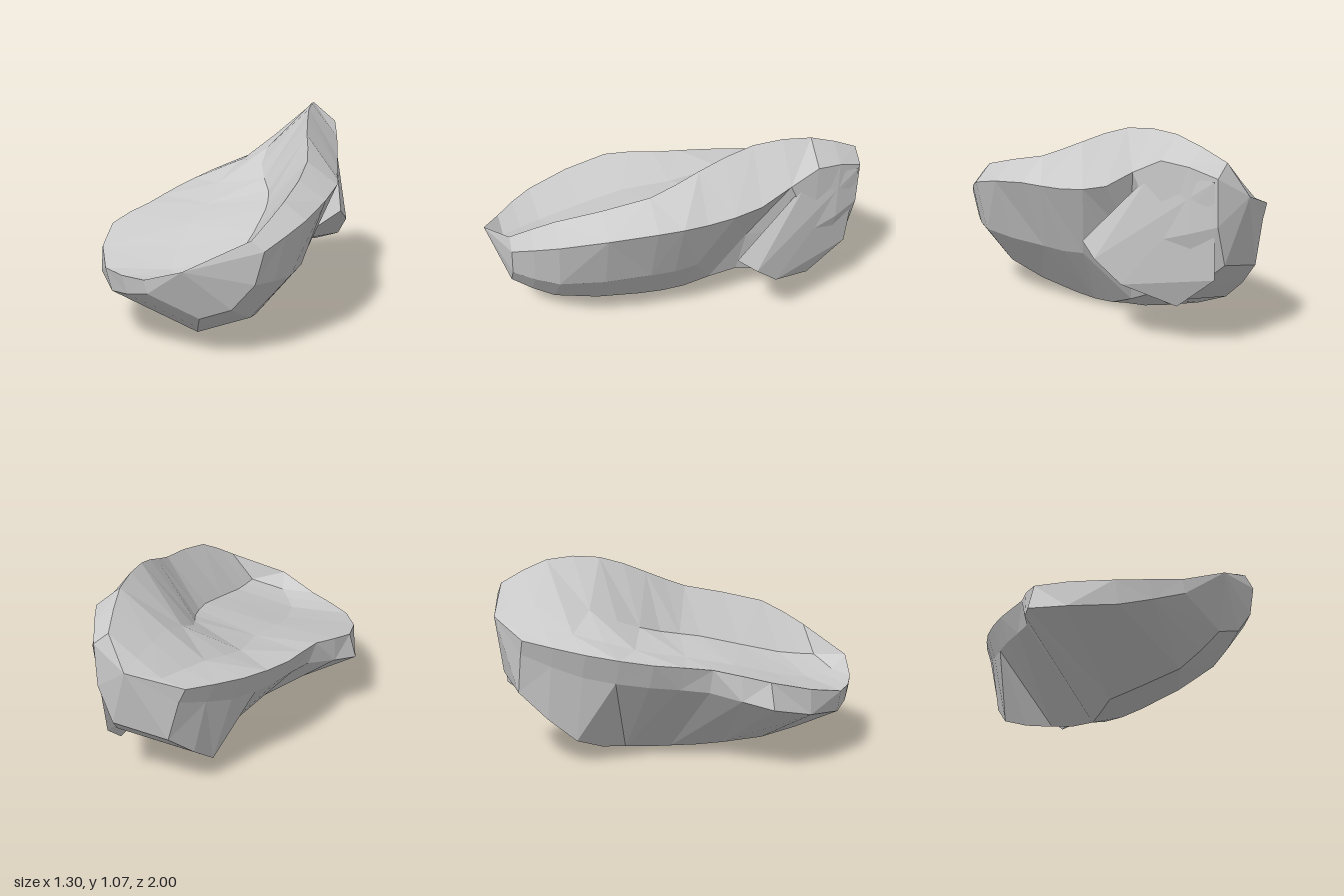
import * as THREE from 'three';
import { ConvexGeometry } from 'three/addons/geometries/ConvexGeometry.js';

const v = (x, y, z) => new THREE.Vector3(x, y, z);

// Outline at depth z: left rim, hollow, ridge, right shoulder, lower right, keel, lower left.
// The top sags between rim and hollow; the right flank swells (or caves in) by the given amount.
function section(z, swell, ...corners) {
  const [rim, hollow, ridge, shoulder, low, keel, left] = corners.map(([x, y]) => v(x, y, z));
  const sag = rim.clone().lerp(hollow, 0.5).add(v(0, -0.04, 0));
  const flank = shoulder.clone().lerp(low, 0.5).add(v(swell, -swell / 2, 0));
  return [rim, sag, hollow, ridge, shoulder, flank, low, keel, left];
}

// Rounded end: the neighbouring outline drawn in towards a centre
const shrink = (ring, centre, amount) =>
  ring.map((p) => p.clone().lerp(centre, amount).setZ(centre.z));

// Run a curve through matching corners, then skin the rings and fan both ends shut
function loft(keys, frontTip, backTip, steps) {
  const n = keys[0].length;
  const rails = keys[0].map((_, j) =>
    new THREE.CatmullRomCurve3(keys.map((ring) => ring[j])).getPoints(steps));
  const points = [];
  for (let j = 0; j < n; j++) {
    const left = rails[j], right = rails[(j + 1) % n];
    points.push(frontTip, right[0], left[0]);
    for (let i = 0; i < steps; i++) {
      const a = left[i], b = right[i], c = right[i + 1], d = left[i + 1];
      if ((i + j) % 2) points.push(a, b, c, a, c, d);
      else points.push(a, b, d, b, c, d);
    }
    points.push(backTip, left[steps], right[steps]);
  }
  const geometry = new THREE.BufferGeometry().setFromPoints(points);
  geometry.computeVertexNormals();
  return geometry;
}

export function createModel() {
  const group = new THREE.Group();
  group.name = 'rock';
  const material = new THREE.MeshStandardMaterial({ color: 0xcccccc, flatShading: true });
  const add = (name, geometry) => {
    const mesh = new THREE.Mesh(geometry, material);
    mesh.name = name;
    group.add(mesh);
  };

  // Leaning body with a sloping hollow top and a high right ridge
  const front = section(0.68, 0.06, [-0.53, 0.38], [0.15, 0.47], [0.37, 0.75], [0.48, 0.66], [0.21, 0.15], [-0.06, 0.06], [-0.5, 0.26]);
  const back = section(-0.66, 0.05, [-0.19, 0.63], [0.2, 0.86], [0.43, 1.06], [0.56, 0.95], [0.44, 0.23], [-0.03, 0.13], [-0.13, 0.5]);
  const keys = [
    shrink(front, v(0.05, 0.41, 0.9), 0.42),
    front,
    section(0.2, 0.05, [-0.61, 0.49], [0.23, 0.59], [0.45, 0.86], [0.61, 0.74], [0.19, 0.04], [-0.06, 0.025], [-0.65, 0.35]),
    section(-0.06, 0.04, [-0.46, 0.55], [0.22, 0.64], [0.43, 0.96], [0.6, 0.74], [0.18, 0.03], [0.08, 0], [-0.42, 0.42]),
    section(-0.35, -0.03, [-0.36, 0.58], [0.15, 0.73], [0.42, 1.06], [0.59, 0.79], [0.25, 0.15], [0.05, 0.04], [-0.3, 0.45]),
    back,
    shrink(back, v(0.36, 0.78, -0.93), 0.4),
  ];
  add('rockBody', loft(keys, v(-0.08, 0.47, 1), v(0.31, 0.78, -1), 12));

  // Lobe bulging from the right flank behind the notch
  add('rearLobe', new ConvexGeometry([
    v(0.62, 0.5, -0.22), v(0.65, 0.43, -0.32), v(0.6, 0.31, -0.45), v(0.36, 0.27, -0.4),
    v(0.46, 0.21, -0.69), v(0.56, 0.88, -0.6), v(0.49, 0.87, -0.92), v(0.45, 0.38, -0.9),
  ]));
  return group;
}
